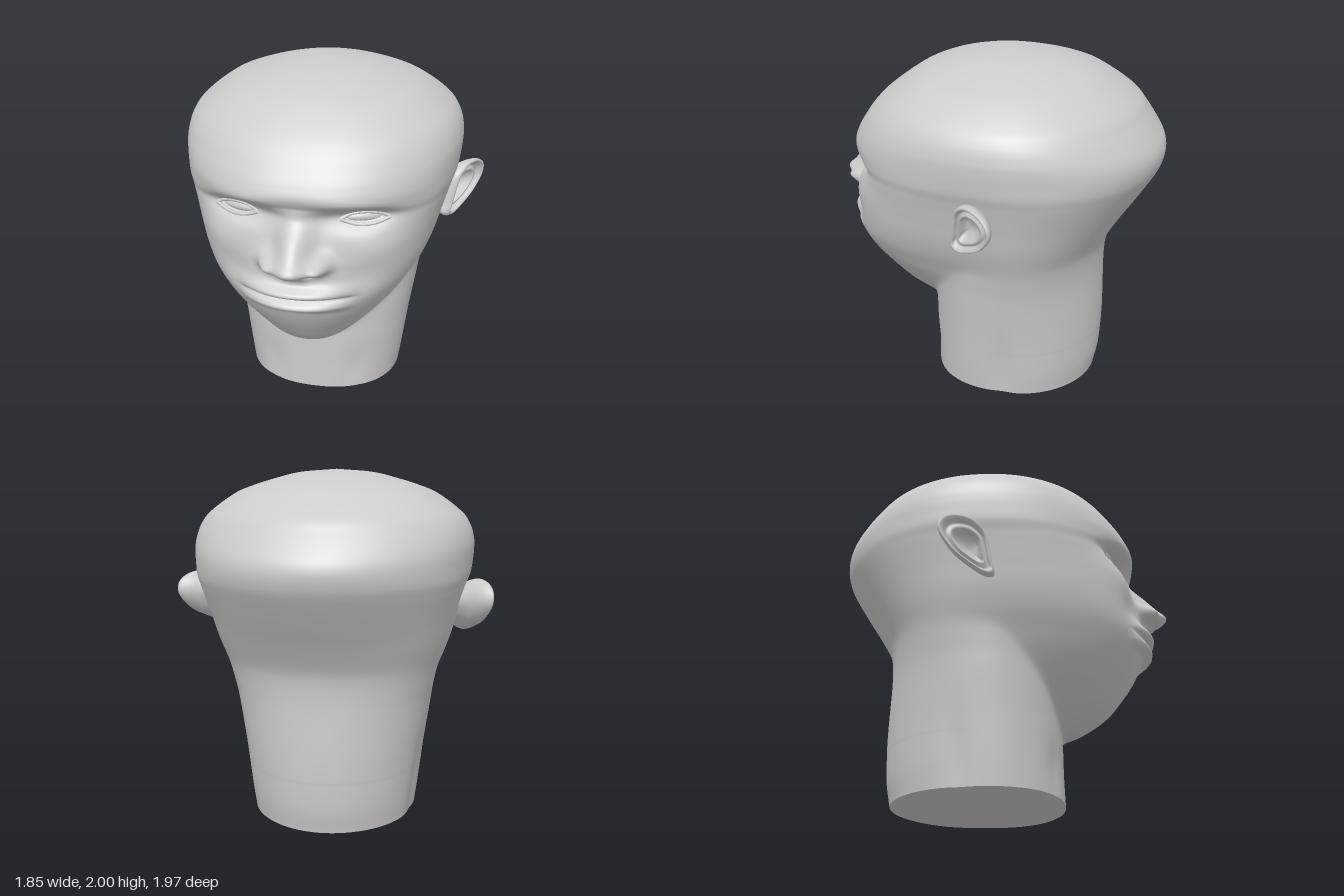
import * as THREE from 'three';

const AXIS = -0.1; // z of the vertical axis the rings are swept around

// Head rings: y, front z, back z, half width
const HEAD = [
  [0.3, 0.1, -0.2, 0.06], [0.36, 0.22, -0.25, 0.11], [0.4, 0.37, -0.28, 0.17], [0.43, 0.45, -0.3, 0.22],
  [0.53, 0.595, -0.38, 0.33], [0.64, 0.69, -0.46, 0.43], [0.76, 0.77, -0.54, 0.52], [0.86, 0.815, -0.605, 0.58],
  [0.95, 0.83, -0.665, 0.63], [1.06, 0.82, -0.745, 0.675], [1.2, 0.785, -0.845, 0.715], [1.36, 0.75, -0.945, 0.76],
  [1.42, 0.77, -0.973, 0.78], [1.49, 0.797, -0.985, 0.79], [1.55, 0.775, -0.972, 0.795], [1.61, 0.735, -0.935, 0.793],
  [1.69, 0.675, -0.875, 0.77], [1.76, 0.605, -0.815, 0.72], [1.87, 0.455, -0.65, 0.57], [1.91, 0.375, -0.57, 0.47],
  [1.95, 0.26, -0.45, 0.34], [1.985, 0.09, -0.29, 0.19], [2, -0.1, -0.1, 0],
];
// Neck rings, same columns
const NECK = [
  [0, 0.34, -0.645, 0.48], [0.15, 0.335, -0.67, 0.5], [0.4, 0.33, -0.675, 0.53], [0.7, 0.3, -0.655, 0.57],
  [0.9, 0.2, -0.635, 0.58], [1.1, 0.1, -0.6, 0.5], [1.4, 0, -0.3, 0.2], [2, -0.1, -0.1, 0],
];

// Smooth interpolation of one column at height y
function at(rows, y, col) {
  if (y < rows[0][0]) return col === 3 ? 0.01 : AXIS;
  let i = 0;
  while (i < rows.length - 2 && y > rows[i + 1][0]) i++;
  const slope = (a, b) => (rows[b][col] - rows[a][col]) / (rows[b][0] - rows[a][0]);
  const tangent = (k) => slope(Math.max(k - 1, 0), Math.min(k + 1, rows.length - 1));
  const h = rows[i + 1][0] - rows[i][0], t = (y - rows[i][0]) / h, s = t * t * (3 - 2 * t);
  return rows[i][col] * (1 - s) + rows[i + 1][col] * s
    + h * (t * (1 - t) ** 2 * tangent(i) - t * t * (1 - t) * tangent(i + 1));
}

const bump = (v, mid, width) => Math.exp(-(((v - mid) / width) ** 2));
const step = THREE.MathUtils.smoothstep;

// Squareness of the front half: round chin, fuller cheeks, rounder forehead
const frontPower = (y) => 2.25 + 0.28 * step(y, 0.6, 1) - 0.3 * step(y, 1.32, 1.52);

// Radius of a superellipse ring in direction theta (0 = front)
function ringRadius(rows, y, theta) {
  const c = Math.cos(theta), power = frontPower(y);
  const n = c > 0 ? power : 2 + (power - 2) * (1 + c);
  const a = Math.max(0.001, c > 0 ? at(rows, y, 1) - AXIS : AXIS - at(rows, y, 2));
  const w = Math.max(0.001, at(rows, y, 3));
  return (Math.abs(Math.sin(theta) / w) ** n + Math.abs(c / a) ** n) ** (-1 / n);
}

const NOSE = [[1.02, 0], [1.06, 0.035], [1.095, 0.09], [1.12, 0.155], [1.155, 0.192], [1.2, 0.16], [1.28, 0.105], [1.35, 0.045], [1.43, 0]];

// Forward relief of the face
function relief(px, y) {
  const x = Math.abs(px);
  let d = 0;
  // nose, wings and nostrils
  if (y > 1.02 && y < 1.43) {
    const w = 0.085 + 0.045 * bump(y, 1.13, 0.07);
    d += at(NOSE, y, 1) * Math.exp(-((x / w) ** 2.4));
  }
  d += 0.07 * bump(x, 0.145, 0.045) * bump(y, 1.145, 0.045);
  d -= 0.03 * bump(x, 0.075, 0.03) * bump(y, 1.095, 0.018);
  // lips and mouth line
  const lip = Math.max(0, 1 - (x / 0.34) ** 2) ** 1.3;
  d += lip * (0.07 * bump(y, 0.98, 0.037) + 0.06 * bump(y, 0.895, 0.032));
  d -= 0.025 * Math.exp(-((x / 0.29) ** 6)) * bump(y, 0.942, 0.012);
  // eye sockets, brow ridge, cheekbones
  d -= 0.075 * bump(x, 0.33, 0.17) * bump(y, 1.375, 0.06);
  d += 0.02 * bump(x, 0.34, 0.2) * bump(y, 1.46 - 0.15 * x * x, 0.04);
  d += 0.02 * bump(x, 0.46, 0.13) * bump(y, 1.2, 0.09);
  d -= 0.025 * bump(x, 0.33, 0.1) * bump(y, 1.05, 0.09);
  return d;
}

// Face depth at x, y
function faceZ(x, y) {
  const n = frontPower(y), w = at(HEAD, y, 3);
  return AXIS + (at(HEAD, y, 1) - AXIS) * (1 - Math.abs(x / w) ** n) ** (1 / n) + relief(x, y);
}

function skinPoint(theta, y) {
  const c = Math.cos(theta), a = ringRadius(HEAD, y, theta), b = ringRadius(NECK, y, theta);
  // crisp under the chin, soft at the nape
  const k = (0.03 + 0.07 * step(-c, -0.3, 0.7)) * Math.sqrt(step(1.4 - y, 0, 0.4));
  let r = 0.5 * (a + b + Math.sqrt((a - b) ** 2 + k * k));
  // hollows beside the neck tendons
  r -= 0.015 * bump(Math.abs(theta), 1.8, 0.14) * bump(y, 0.15, 0.25);
  r -= 0.01 * bump(Math.abs(theta), 0.6, 0.15) * bump(y, 0.15, 0.13);
  const front = y > 0.6 ? step(c, 0.1, 0.5) * relief(r * Math.sin(theta), y) : 0;
  return new THREE.Vector3(r * Math.sin(theta), y, AXIS + r * c + front);
}

// Skin closed rings of equal length together
function loft(rings) {
  const n = rings[0].length, pos = [], index = [];
  rings.forEach((ring) => ring.forEach((p) => pos.push(p.x, p.y, p.z)));
  for (let i = 0; i < rings.length - 1; i++) {
    for (let j = 0; j < n; j++) {
      const a = i * n + j, b = i * n + ((j + 1) % n);
      index.push(a, b, a + n, b, b + n, a + n);
    }
  }
  const geo = new THREE.BufferGeometry();
  geo.setAttribute('position', new THREE.Float32BufferAttribute(pos, 3));
  geo.setIndex(index);
  geo.computeVertexNormals();
  return geo;
}

// Ear shell: outline (z, y) scaled inward through rim, fold and bowl
function earGeometry() {
  const outline = new THREE.CatmullRomCurve3([
    [-0.295, 1.28], [-0.28, 1.345], [-0.22, 1.385], [-0.13, 1.39], [-0.06, 1.34], [-0.035, 1.25],
    [-0.02, 1.16], [-0.01, 1.1], [-0.05, 1.085], [-0.13, 1.115], [-0.23, 1.18],
  ].map(([z, y]) => new THREE.Vector3(0, y, z)), true).getSpacedPoints(48).slice(0, 48);
  const cy = 1.24, cz = -0.14;
  // scale, outward offset
  const steps = [[0.6, -0.18], [0.7, -0.12], [0.85, -0.08], [0.96, -0.05], [1.01, -0.025], [1.01, -0.005], [0.97, 0.008],
    [0.91, 0.01], [0.85, -0.003], [0.79, -0.025], [0.72, -0.028], [0.64, -0.012], [0.56, -0.015], [0.48, -0.05], [0.3, -0.075], [0.001, -0.08]];
  return loft(steps.map(([s, d]) => outline.map((p) => {
    const z = cz + (p.z - cz) * s + (d < -0.1 ? 0.03 : 0), y = cy + (p.y - cy) * s;
    return new THREE.Vector3(0.73 - 0.58 * z + 0.1 * (y - 1.1) + d, y, z);
  })));
}

export function createModel() {
  const group = new THREE.Group();
  const material = new THREE.MeshStandardMaterial({ color: 0xcccccc, side: THREE.DoubleSide });
  const add = (name, geo) => {
    const mesh = new THREE.Mesh(geo, material);
    mesh.name = name;
    group.add(mesh);
    return mesh;
  };

  // Head and neck skin, finer at the face and crown
  const SEG = 200, rings = [];
  const thetas = Array.from({ length: SEG }, (_, j) => {
    const p = (j / SEG) * 2 * Math.PI - Math.PI;
    return p - 0.4 * Math.sin(p);
  });
  for (let i = 0; i <= 220; i++) rings.push(thetas.map((t) => skinPoint(t, (i / 220) * 1.8)));
  for (let i = 1; i <= 30; i++) rings.push(thetas.map((t) => skinPoint(t, 1.8 + 0.2 * Math.sin((i / 30) * Math.PI / 2))));
  add('headAndNeck', loft(rings));

  // Flat underside of the neck
  const base = new THREE.ShapeGeometry(new THREE.Shape(rings[0].map((p) => new THREE.Vector2(p.x, p.z))));
  add('neckBase', base.rotateX(Math.PI / 2));

  const ear = earGeometry();
  for (const side of [1, -1]) {
    const label = side > 0 ? 'left' : 'right';
    add(label + 'Ear', ear).scale.x = side;

    // Eyeball set into the socket
    const eye = add(label + 'Eye', new THREE.SphereGeometry(1, 32, 20));
    eye.scale.set(0.125, 0.034, 0.04);
    eye.position.set(side * 0.345, 1.36, faceZ(0.345, 1.36) - 0.02);
    eye.rotation.y = side * 0.4;

    // Eyelids follow the face around the eye
    for (const [lid, rise] of [['Upper', 0.034], ['Lower', -0.03]]) {
      const pts = Array.from({ length: 13 }, (_, i) => {
        const u = i / 6 - 1, x = 0.345 + 0.125 * u, y = 1.358 + rise * (1 - u * u);
        return new THREE.Vector3(side * x, y, faceZ(x, y));
      });
      add(label + lid + 'Eyelid', new THREE.TubeGeometry(new THREE.CatmullRomCurve3(pts), 32, 0.01, 8));
    }
  }
  return group;
}
